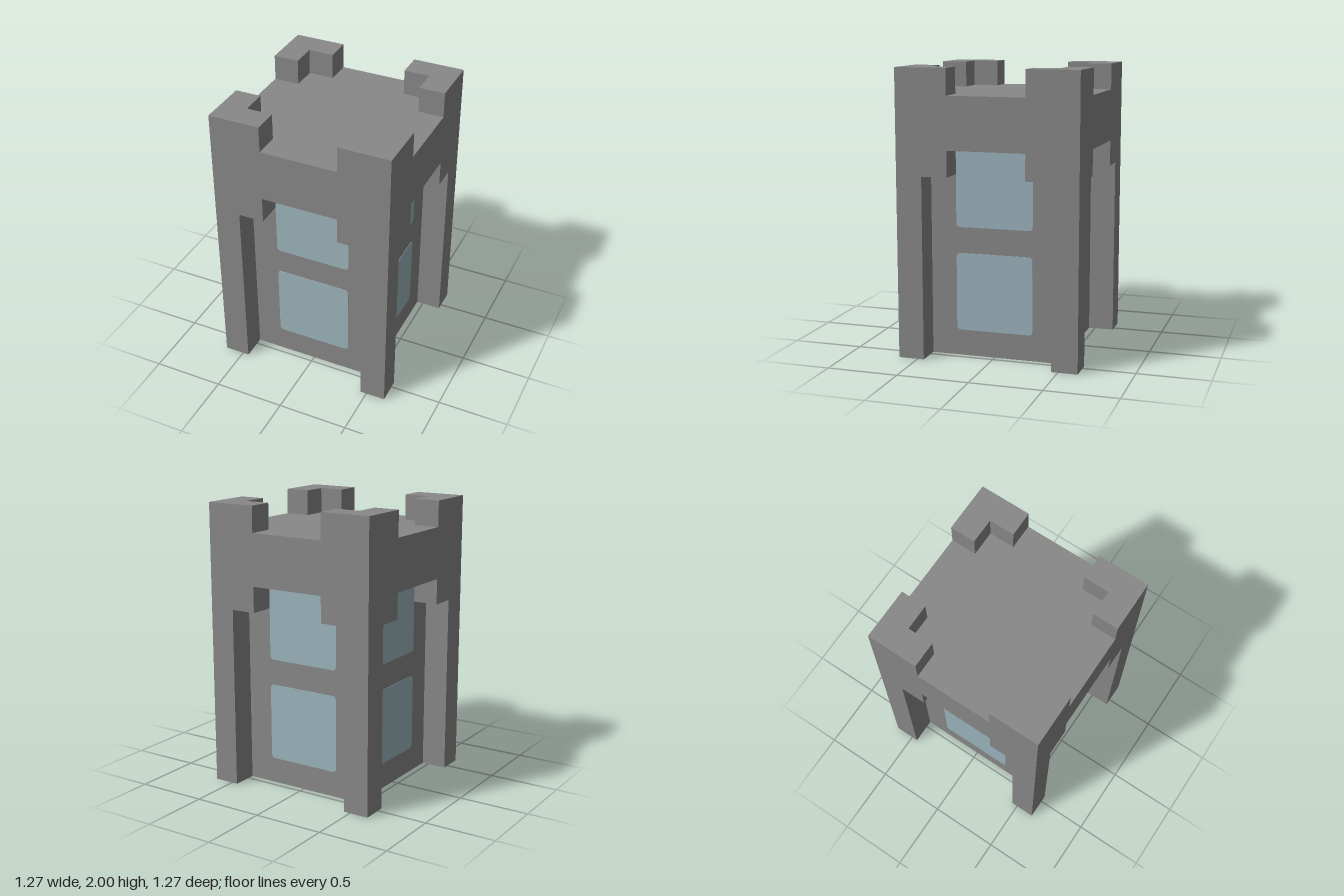
import * as THREE from 'three';

// The tower sits on a block grid, eleven units tall
const U = 2 / 11;

export function createModel() {
  const stone = new THREE.MeshStandardMaterial({ color: 0x888888 });
  stone.name = 'stone grey';
  const glass = new THREE.MeshStandardMaterial({ color: 0x9cb5bd });
  glass.name = 'pale blue glass';

  const tower = new THREE.Group();
  tower.name = 'tower';

  const add = (parent, name, geometry, material, x = 0, y = 0, z = 0) => {
    const mesh = new THREE.Mesh(geometry, material);
    mesh.name = name;
    mesh.position.set(x * U, y * U, z * U);
    parent.add(mesh);
    return mesh;
  };
  const box = (w, h, d) => new THREE.BoxGeometry(w * U, h * U, d * U);

  // Main body and the overhanging band under the battlements
  add(tower, 'core', box(5, 8, 5), stone, 0, 4, 0);
  add(tower, 'upperBand', box(7, 2, 7), stone, 0, 9, 0);

  // L-shaped corner block, used for both brackets and battlements
  const corner = new THREE.Shape(
    [[3.5, 1.5], [3.5, 3.5], [1.5, 3.5], [1.5, 2.5], [2.5, 2.5], [2.5, 1.5]]
      .map(([x, y]) => new THREE.Vector2(x * U, y * U)));
  const cornerGeometry = new THREE.ExtrudeGeometry(corner, { depth: U, bevelEnabled: false });
  cornerGeometry.rotateX(-Math.PI / 2);
  const pillarGeometry = box(1, 7, 1);

  // Window pane with small rounded corners; the upper pane meets the band squarely
  const pane = (squareTop) => {
    const w = 1.5 * U, r = 0.03, t = squareTop ? 0 : r;
    const s = new THREE.Shape();
    s.moveTo(-w + r, -w);
    s.lineTo(w - r, -w);
    s.quadraticCurveTo(w, -w, w, -w + r);
    s.lineTo(w, w - t);
    if (t) s.quadraticCurveTo(w, w, w - t, w);
    s.lineTo(-w + t, w);
    if (t) s.quadraticCurveTo(-w, w, -w, w - t);
    s.lineTo(-w, -w + r);
    s.quadraticCurveTo(-w, -w, -w + r, -w);
    return new THREE.ExtrudeGeometry(s, { depth: 0.003, bevelEnabled: false, curveSegments: 4 });
  };
  const lowerPane = pane(false);
  const upperPane = pane(true);

  // Four identical sides, each with one corner
  for (let i = 0; i < 4; i++) {
    const side = new THREE.Group();
    side.name = 'side' + (i + 1);
    side.rotation.y = i * Math.PI / 2;
    add(side, 'cornerPillar', pillarGeometry, stone, 3, 3.5, -3);
    add(side, 'cornerBracket', cornerGeometry, stone, 0, 7, 0);
    add(side, 'cornerBattlement', cornerGeometry, stone, 0, 10, 0);
    add(side, 'lowerWindow', lowerPane, glass, 0, 2.5, 2.5);
    add(side, 'upperWindow', upperPane, glass, 0, 6.5, 2.5);
    tower.add(side);
  }
  return tower;
}
